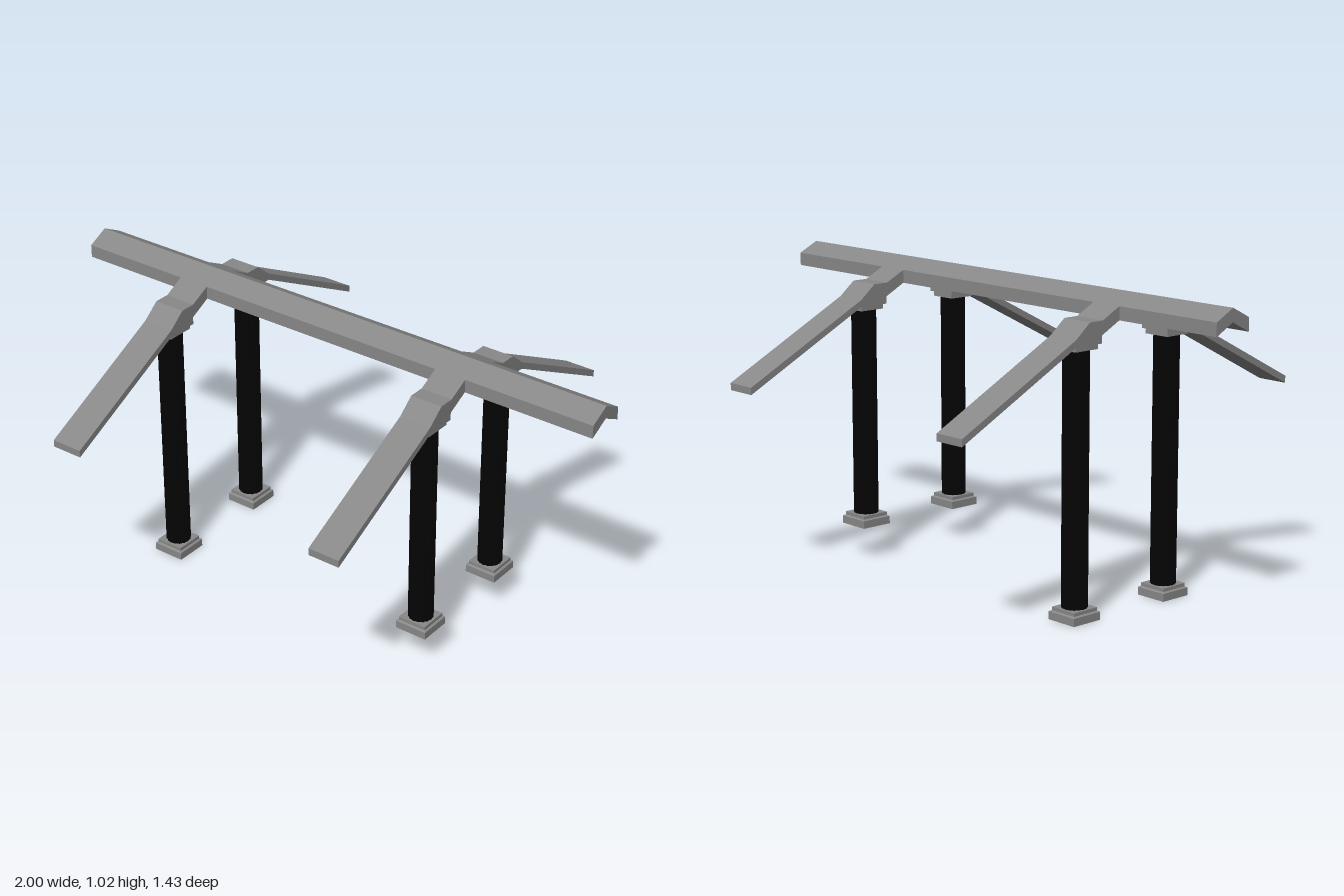
import * as THREE from 'three';

const grey = new THREE.MeshStandardMaterial({ color: 0x888888, flatShading: true });
const black = new THREE.MeshStandardMaterial({ color: 0x040404, flatShading: true });

// Extrudes a (z, y) outline along x, centred on x = 0; side -1 mirrors it to the back
function extrudeAcross(points, width, side = 1) {
  const shape = new THREE.Shape(points.map(([z, y]) => new THREE.Vector2(z, y)));
  const geo = new THREE.ExtrudeGeometry(shape, { depth: width, bevelEnabled: false });
  geo.translate(0, 0, -width / 2);
  geo.rotateY(-side * Math.PI / 2);
  return geo;
}

// Square stepped block from a (half width, y) profile, bottom to top
function squareLathe(profile) {
  const pts = profile.map(([h, y]) => new THREE.Vector2(h * Math.SQRT2, y));
  return new THREE.LatheGeometry(pts, 4, Math.PI / 4);
}

// Shaft with shallow flutes
function flutedShaft(radius, bottom, top, flutes = 16) {
  const shape = new THREE.Shape();
  const n = flutes * 4;
  for (let i = 0; i < n; i++) {
    const a = (i / n) * Math.PI * 2;
    const r = radius - 0.0025 * Math.abs(Math.sin(a * flutes / 2));
    if (i === 0) shape.moveTo(r, 0);
    else shape.lineTo(r * Math.cos(a), r * Math.sin(a));
  }
  const geo = new THREE.ExtrudeGeometry(shape, { depth: top - bottom, bevelEnabled: false });
  geo.rotateX(-Math.PI / 2);
  geo.translate(0, bottom, 0);
  return geo;
}

export function createModel() {
  const model = new THREE.Group();
  model.name = 'ridgeFrame';
  const add = (parent, name, geo, mat, x = 0, y = 0, z = 0) => {
    const mesh = new THREE.Mesh(geo, mat);
    mesh.name = name;
    mesh.position.set(x, y, z);
    parent.add(mesh);
  };

  // Ridge beam: folded strip along the whole length
  add(model, 'ridgeBeam', extrudeAcross([
    [0, 1.021], [-0.071, 0.985], [-0.071, 0.941], [0, 0.977], [0.071, 0.941], [0.071, 0.985],
  ], 2), grey);

  // Rafter with its thickened head above the column
  const rafter = [
    [0.071, 0.941], [0.145, 0.903], [0.145, 0.878], [0.254, 0.878], [0.715, 0.641],
    [0.715, 0.665], [0.254, 0.902], [0.197, 0.949], [0.142, 0.949], [0.071, 0.985],
  ];
  // Stepped foot with a recessed underside
  const foot = [
    [0, 0.012], [0.022, 0.012], [0.022, 0.006], [0.036, 0.006], [0.036, 0],
    [0.057, 0], [0.057, 0.026], [0.05, 0.03], [0.05, 0.041], [0, 0.041],
  ];
  const capital = [[0, 0.861], [0.047, 0.861], [0.047, 0.879], [0, 0.879]];

  // Two bays; the ground is higher under the left one
  for (const [bay, x, ground] of [['right', -0.543, 0], ['left', 0.486, 0.112]]) {
    for (const side of [1, -1]) {
      const post = new THREE.Group();
      post.name = `${bay}${side > 0 ? 'Front' : 'Back'}Support`;
      post.position.x = x;
      const z = side * 0.2;
      add(post, 'rafter', extrudeAcross(rafter, 0.112, side), grey);
      add(post, 'capital', squareLathe(capital), grey, 0, 0, z);
      add(post, 'column', flutedShaft(0.0425, ground + 0.04, 0.862), black, 0, 0, z);
      add(post, 'foot', squareLathe(foot), grey, 0, ground, z);
      model.add(post);
    }
  }
  return model;
}
